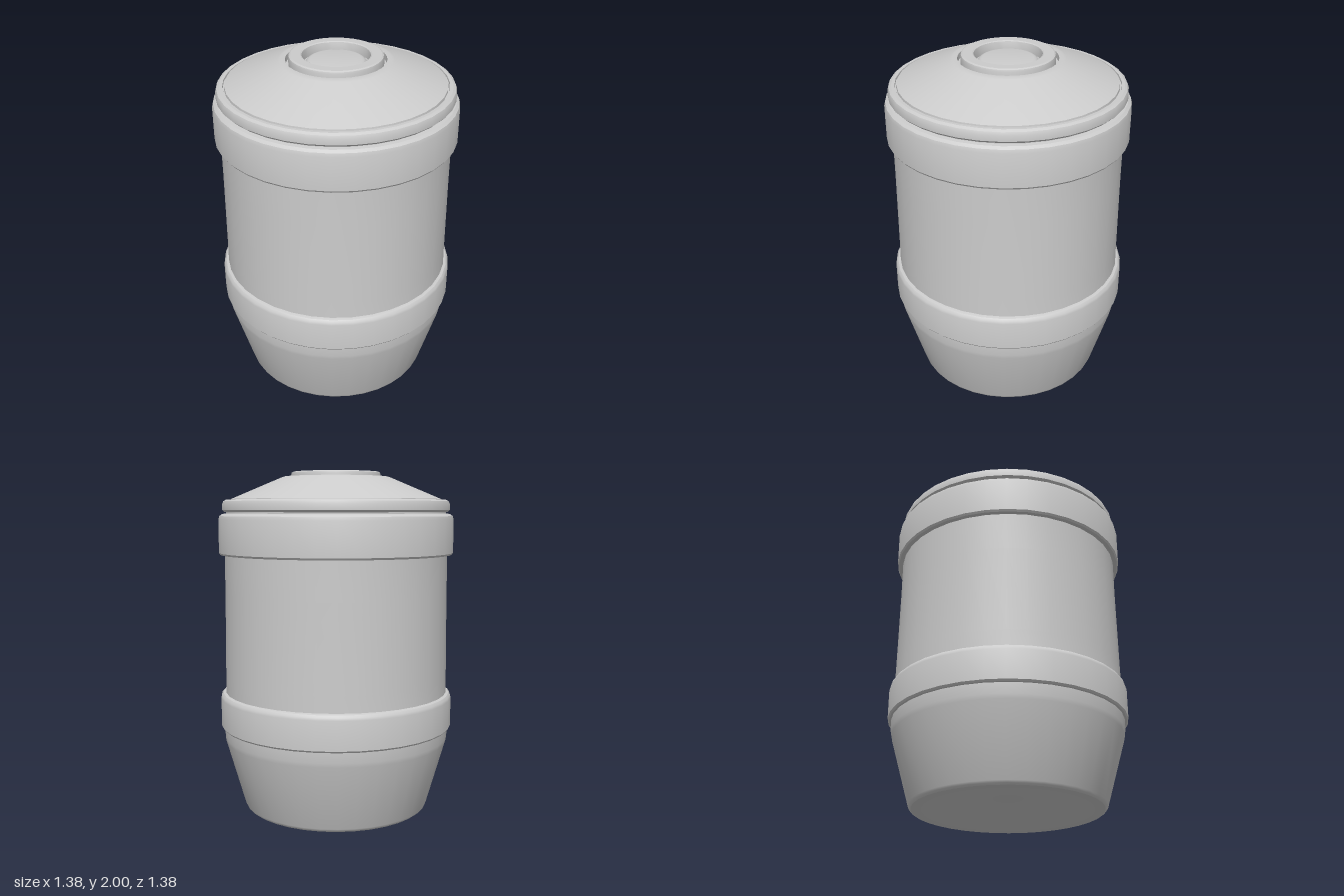
import * as THREE from 'three';
import { toCreasedNormals } from 'three/addons/utils/BufferGeometryUtils.js';

const SIDES = 36;

export function createModel() {
  const group = new THREE.Group();
  const material = new THREE.MeshStandardMaterial({ color: 0xcccccc });

  // Turns a [radius, height] profile, listed from the bottom up the outside
  function turned(name, profile, crease = 0.5) {
    const points = profile.map(([r, y]) => new THREE.Vector2(r, y));
    const lathe = new THREE.LatheGeometry(points, SIDES, Math.PI / SIDES);
    const mesh = new THREE.Mesh(toCreasedNormals(lathe, crease), material);
    mesh.name = name;
    group.add(mesh);
  }

  // Tapered foot with a dished underside
  turned('base', [
    [0, 0.07], [0.28, 0.07], [0.41, 0], [0.54, 0], [0.55, 0.008], [0.556, 0.02],
    [0.667, 0.41], [0.672, 0.435], [0.673, 0.5],
  ]);

  // Raised band around the lower body
  turned('lowerBand', [
    [0.66, 0.497], [0.685, 0.497], [0.693, 0.507], [0.693, 0.675],
    [0.689, 0.69], [0.679, 0.702], [0.663, 0.708], [0.65, 0.708],
  ]);

  // Main wall
  turned('body', [[0.664, 0.69], [0.662, 0.8], [0.657, 1.3], [0.657, 1.54]]);

  // Collar below the lid, with a recessed neck
  turned('upperBand', [
    [0.65, 1.522], [0.682, 1.522], [0.69, 1.533], [0.69, 1.725],
    [0.684, 1.745], [0.668, 1.757], [0.645, 1.76], [0.645, 1.79],
  ]);

  // Rounded lid rim, groove, sloping cover and the well at its centre
  turned('lid', [
    [0.63, 1.768], [0.655, 1.768], [0.667, 1.78], [0.667, 1.812], [0.66, 1.829],
    [0.645, 1.838], [0.627, 1.838], [0.625, 1.828], [0.618, 1.828], [0.616, 1.842],
    [0.32, 1.967], [0.305, 1.972], [0.279, 1.972], [0.277, 1.94], [0.18, 1.94], [0, 1.94],
  ]);

  // Raised ring in the well
  turned('capRing', [
    [0.262, 1.935], [0.262, 1.985], [0.259, 1.995], [0.25, 2], [0.196, 2],
    [0.189, 1.996], [0.187, 1.99], [0.187, 1.935],
  ]);

  // Soft-edged button inside the ring
  turned('button', [
    [0.17, 1.935], [0.169, 1.95], [0.163, 1.96], [0.15, 1.968], [0.14, 1.97], [0, 1.97],
  ], 0.7);

  return group;
}
